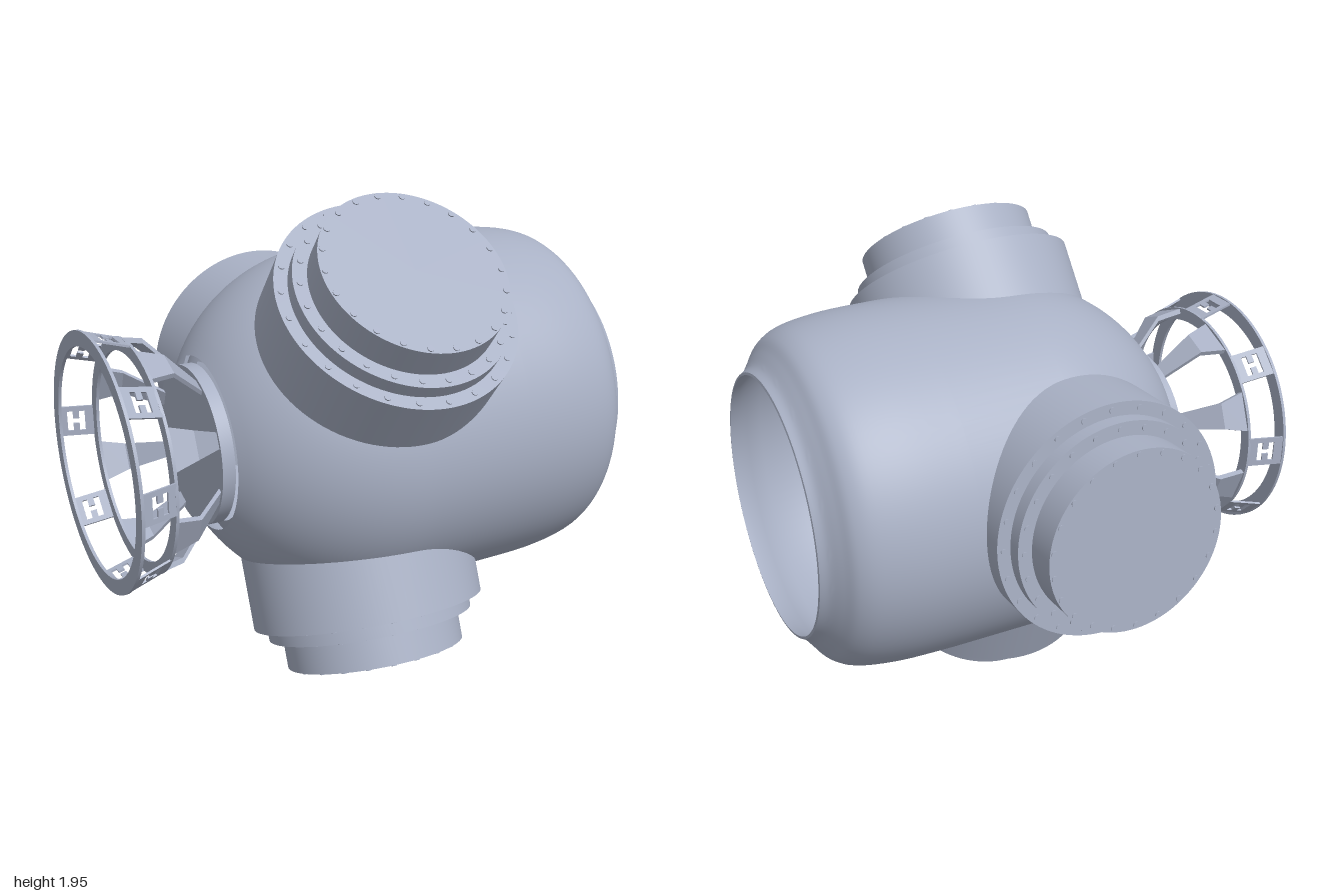
import * as THREE from 'three';
import { toCreasedNormals } from 'three/addons/utils/BufferGeometryUtils.js';

const steel = new THREE.MeshStandardMaterial({ color: 0xa9b1c5, side: THREE.DoubleSide });
steel.name = 'blue grey steel';

function part(name, geometry, parent) {
  const mesh = new THREE.Mesh(geometry, steel);
  mesh.name = name;
  parent.add(mesh);
  return mesh;
}

// Turned solid from [radius, height] pairs, with crisp corners
function turned(points, segments = 96) {
  const profile = points.map(([r, h]) => new THREE.Vector2(r, h));
  return toCreasedNormals(new THREE.LatheGeometry(profile, segments), 0.5);
}

// Points on a circular arc about the module's centre, as [radius, height]
function arc(radius, centre, from, to, n) {
  return Array.from({ length: n + 1 }, (_, i) => {
    const h = from + (to - from) * i / n;
    return [Math.sqrt(Math.max(0, radius * radius - (h - centre) ** 2)), h];
  });
}

// Bent plate swept through [x, radius, half width] sections
function bentPlate(sections, t) {
  const pos = [], index = [];
  for (const [x, r, w] of sections) {
    pos.push(x, r - t / 2, -w, x, r - t / 2, w, x, r + t / 2, w, x, r + t / 2, -w);
  }
  const last = (sections.length - 1) * 4;
  for (let s = 0; s < last; s += 4) {
    for (let k = 0; k < 4; k++) {
      const a = s + k, b = s + (k + 1) % 4;
      index.push(a, b, a + 4, b, b + 4, a + 4);
    }
  }
  index.push(0, 2, 1, 0, 3, 2, last, last + 1, last + 2, last, last + 2, last + 3);
  let g = new THREE.BufferGeometry();
  g.setAttribute('position', new THREE.Float32BufferAttribute(pos, 3));
  g.setIndex(index);
  g = g.toNonIndexed();
  g.computeVertexNormals();
  return g;
}

function annulus(outer, inner, depth) {
  const shape = new THREE.Shape().absarc(0, 0, outer, 0, Math.PI * 2);
  shape.holes.push(new THREE.Path().absarc(0, 0, inner, 0, Math.PI * 2));
  const g = new THREE.ExtrudeGeometry(shape, { depth, bevelEnabled: false, curveSegments: 48 });
  return toCreasedNormals(g.translate(0, 0, -depth / 2).rotateY(Math.PI / 2), 0.5);
}

// Small joining tab with an H-shaped cut-out
function tabGeometry() {
  const l = 0.071, w = 0.06;
  const rect = [[-l, -w], [l, -w], [l, w], [-l, w]];
  const h = [[-0.034, -0.04], [-0.012, -0.04], [-0.012, -0.01], [0.012, -0.01],
    [0.012, -0.04], [0.034, -0.04], [0.034, 0.04], [0.012, 0.04],
    [0.012, 0.01], [-0.012, 0.01], [-0.012, 0.04], [-0.034, 0.04]];
  const vec = list => list.map(([x, y]) => new THREE.Vector2(x, y));
  const shape = new THREE.Shape(vec(rect));
  shape.holes.push(new THREE.Path(vec(h)));
  return new THREE.ExtrudeGeometry(shape, { depth: 0.008, bevelEnabled: false })
    .rotateX(-Math.PI / 2);
}

// Hollow hull with a rolled lip around the open end
function buildHull(parent) {
  const curve = new THREE.SplineCurve([
    [0.683, 0.45], [0.677, 0.66], [0.655, 0.81], [0.62, 0.885], [0.57, 0.925], [0.525, 0.96], [0.505, 0.99],
  ].map(p => new THREE.Vector2(...p)));
  const lip = curve.getPoints(30).map(p => [p.x, p.y]);
  const outer = [...arc(0.682, 0.02, -0.575, 0.02, 24), ...lip];
  const inner = [[0.495, 0.992], [0.505, 0.96], [0.54, 0.91], [0.59, 0.84], [0.625, 0.7], [0.64, 0.5],
    ...arc(0.642, 0.02, 0.02, -0.545, 24)];
  part('hull', turned([...outer, ...inner]).rotateZ(-Math.PI / 2), parent);
  part('endFlange', turned([
    [0, -0.622], [0.305, -0.622], [0.305, -0.572], [0.25, -0.572], [0.25, -0.605], [0, -0.605],
  ]).rotateZ(-Math.PI / 2), parent);
}

// Open docking collar: two rings, eight tabs and eight bent arms
function buildCollar(parent) {
  const collar = new THREE.Group();
  collar.name = 'dockingCollar';
  parent.add(collar);
  part('outerRing', annulus(0.488, 0.43, 0.012), collar).position.x = -0.99;
  part('innerRing', annulus(0.445, 0.395, 0.012), collar).position.x = -0.85;
  const armShape = bentPlate([
    [-0.85, 0.425, 0.08], [-0.75, 0.41, 0.052], [-0.62, 0.28, 0.03], [-0.58, 0.238, 0.028],
  ], 0.02);
  const tabShape = tabGeometry().rotateZ(-0.3).translate(-0.92, 0.455, 0);
  for (let i = 0; i < 8; i++) {
    part('ringTab', tabShape, collar).rotation.x = i * Math.PI / 4;
    part('collarArm', armShape, collar).rotation.x = (i + 0.5) * Math.PI / 4;
  }
}

// Stepped hatch port; local y points outward and the cap sits at y = 0
function buildPort(parent, name, cap, dir, length) {
  const port = new THREE.Group();
  port.name = name;
  port.position.set(...cap);
  port.quaternion.setFromUnitVectors(new THREE.Vector3(0, 1, 0), new THREE.Vector3(...dir).normalize());
  parent.add(port);
  part('portBody', turned([
    [0, -length], [0.456, -length], [0.456, -0.175], [0.405, -0.175],
    [0.405, -0.12], [0.351, -0.12], [0.351, 0], [0, 0],
  ]), port);
  const boltShape = new THREE.CylinderGeometry(0.012, 0.012, 0.008, 10);
  for (const [r, y, count] of [[0.334, 0, 22], [0.379, -0.12, 24], [0.431, -0.175, 24]]) {
    for (let i = 0; i < count; i++) {
      const a = i / count * Math.PI * 2;
      part('bolt', boltShape, port).position.set(r * Math.sin(a), y, r * Math.cos(a));
    }
  }
}

export function createModel() {
  const model = new THREE.Group();
  model.name = 'stationNode';

  const core = new THREE.Group();
  core.name = 'core';
  core.position.set(0, 1.0275, 0.05);
  core.rotation.set(0, -0.015, 0.0075);
  model.add(core);
  buildHull(core);
  buildCollar(core);

  buildPort(model, 'upperFrontPort', [-0.005, 1.7475, 0.6125], [0, 0.787, 0.617], 0.49);
  buildPort(model, 'lowerPort', [-0.005, 0.1425, 0.375], [0, -0.928, 0.373], 0.475);
  buildPort(model, 'backPort', [-0.008, 1.096, -0.875], [0, 0.0425, -0.999], 0.455);
  return model;
}
